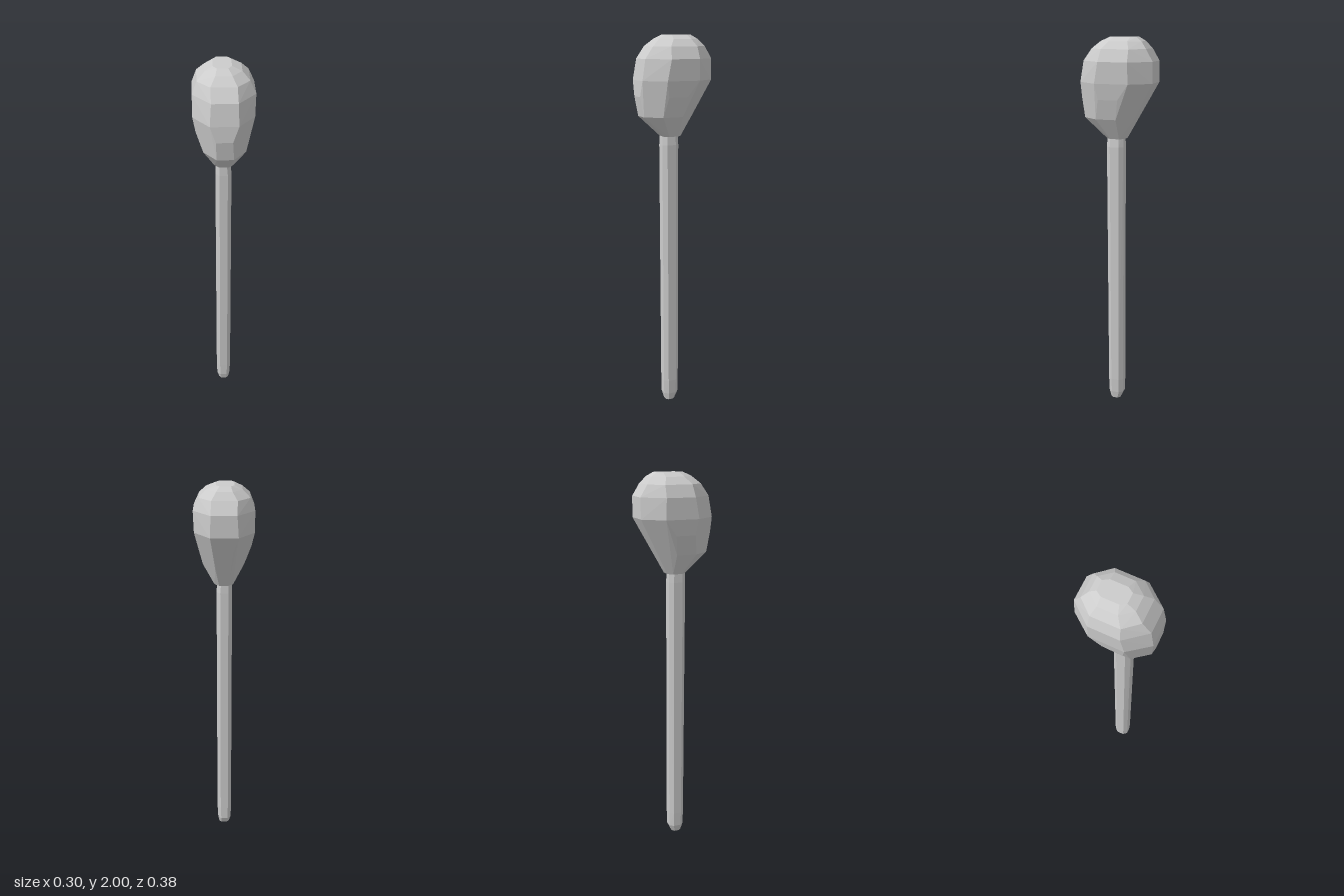
import * as THREE from 'three';
import { ConvexGeometry } from 'three/addons/geometries/ConvexGeometry.js';

// Eight-sided ring filling the box x0..x1, z0..z1 at height y; k is the half-length of its flats
function ring([y, x0, x1, z0, z1, k]) {
  const cx = (x0 + x1) / 2, cz = (z0 + z1) / 2;
  const rx = (x1 - x0) / 2, rz = (z1 - z0) / 2;
  const corners = [[1, k], [k, 1], [-k, 1], [-1, k], [-1, -k], [-k, -1], [k, -1], [1, -k]];
  return corners.map(([a, b]) => new THREE.Vector3(cx + a * rx, y, cz + b * rz));
}

function facetedPart(name, sections, material) {
  const mesh = new THREE.Mesh(new ConvexGeometry(sections.flatMap(ring)), material);
  mesh.name = name;
  return mesh;
}

export function createModel() {
  const group = new THREE.Group();
  group.name = 'matchstick';
  const material = new THREE.MeshStandardMaterial({ color: 0xcccccc, flatShading: true });

  // Slim chamfered stick with a blunt tapered foot
  group.add(facetedPart('stick', [
    [0, -0.027, 0.027, -0.008, 0.045, 0.5],
    [0.04, -0.039, 0.034, -0.026, 0.055, 0.5],
    [0.12, -0.041, 0.038, -0.027, 0.057, 0.52],
    [1.45, -0.041, 0.038, -0.027, 0.063, 0.52],
    [1.52, -0.038, 0.03, -0.025, 0.06, 0.5],
  ], material));

  // Egg-shaped head, bulging low at the front and high at the back
  group.add(facetedPart('head', [
    [1.495, -0.046, 0.048, -0.037, 0.06, 0.5],
    [1.6, -0.1, 0.105, -0.092, 0.172, 0.4],
    [1.7, -0.135, 0.13, -0.148, 0.19, 0.3],
    [1.78, -0.148, 0.144, -0.19, 0.187, 0.46],
    [1.885, -0.148, 0.148, -0.19, 0.17, 0.42],
    [1.945, -0.125, 0.12, -0.154, 0.127, 0.5],
    [1.98, -0.088, 0.085, -0.125, 0.087, 0.45],
    [2, -0.05, 0.038, -0.094, 0.045, 0.6],
  ], material));

  return group;
}
